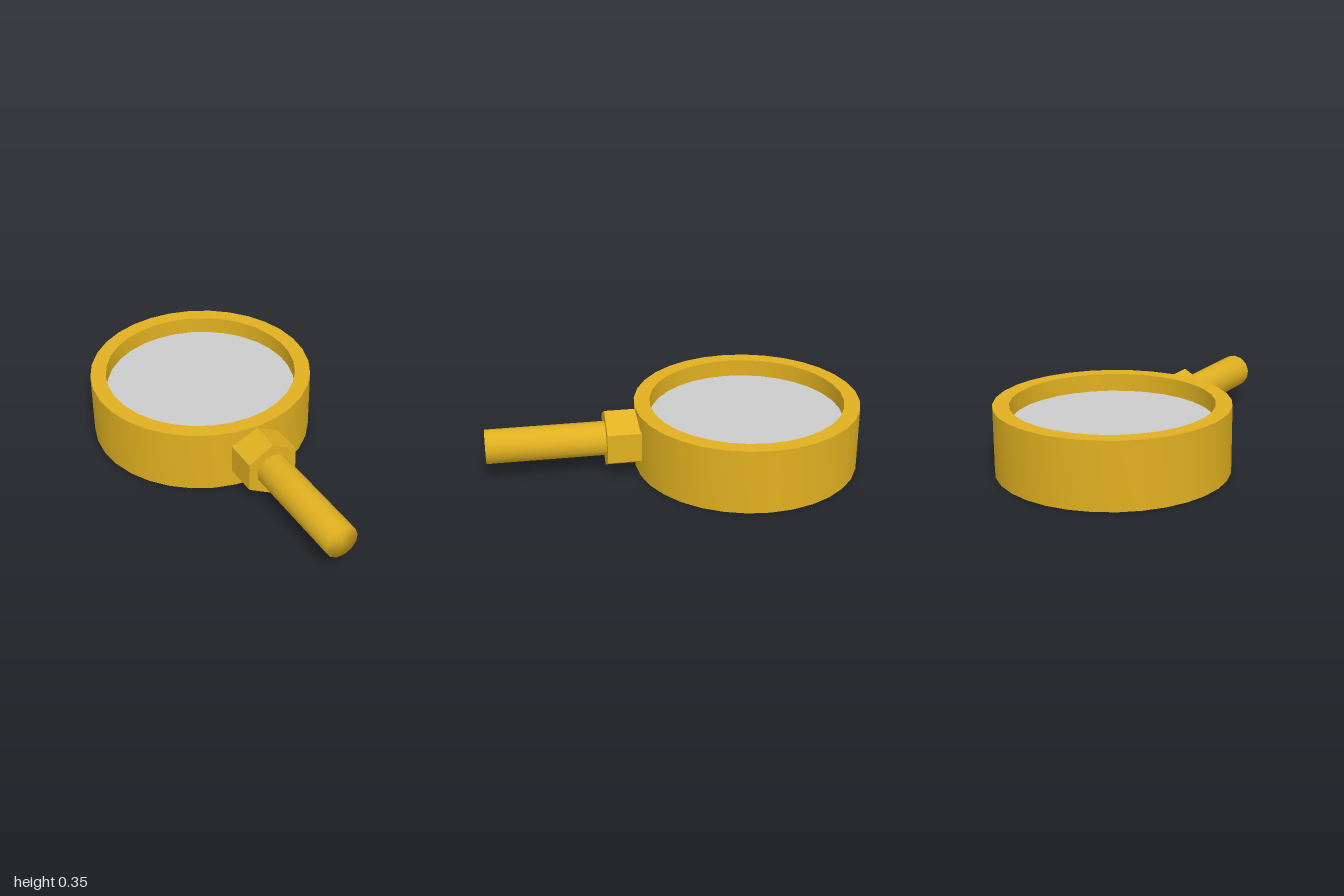
import * as THREE from 'three';
import { mergeVertices, toCreasedNormals } from 'three/addons/utils/BufferGeometryUtils.js';

export function createModel() {
  const group = new THREE.Group();
  group.name = 'pressureGauge';
  const brass = new THREE.MeshStandardMaterial({ color: 0xe0b020 });
  const grey = new THREE.MeshStandardMaterial({ color: 0xcccccc });
  const centreZ = -0.396, axisY = 0.18;

  const add = (name, geometry, material, x, y, z) => {
    const mesh = new THREE.Mesh(geometry, material);
    mesh.name = name;
    mesh.position.set(x, y, z);
    group.add(mesh);
    return mesh;
  };

  // Round cup-shaped case with a thick rim and closed bottom
  const profile = [[0, 0], [0.604, 0], [0.604, 0.35], [0.52, 0.35], [0.52, 0.255]]
    .map(([r, y]) => new THREE.Vector2(r, y));
  const caseGeometry = toCreasedNormals(new THREE.LatheGeometry(profile, 32), Math.PI / 6);
  add('case', caseGeometry, brass, 0, 0, centreZ);

  // Recessed dial face
  const dial = new THREE.CircleGeometry(0.52, 32).rotateX(-Math.PI / 2);
  add('dial', dial, grey, 0, 0.255, centreZ);

  // Flat tapered needle floating just above the dial, pointing to -z
  const needleShape = new THREE.Shape([
    new THREE.Vector2(-0.05, -0.05), new THREE.Vector2(0.05, -0.05),
    new THREE.Vector2(0.02, 0.43), new THREE.Vector2(-0.02, 0.43),
  ]);
  const needle = new THREE.ShapeGeometry(needleShape).rotateX(-Math.PI / 2);
  const needleMaterial = grey.clone();
  needleMaterial.side = THREE.DoubleSide;
  add('needle', needle, needleMaterial, 0, 0.28, centreZ);

  // Hexagonal nut with corners at top and bottom
  const nut = toCreasedNormals(new THREE.CylinderGeometry(0.16, 0.16, 0.22, 6), 0.5);
  nut.rotateX(Math.PI / 2);
  add('nut', nut, brass, 0, axisY, 0.26);

  // Pipe stem, its end cap shaded smoothly into the sides
  let stem = new THREE.CylinderGeometry(0.092, 0.092, 0.65, 13);
  stem.deleteAttribute('normal');
  stem.deleteAttribute('uv');
  stem = mergeVertices(stem);
  stem.computeVertexNormals();
  stem.rotateX(Math.PI / 2).rotateZ(Math.PI);
  add('stem', stem, brass, 0, axisY, 0.675);

  return group;
}
